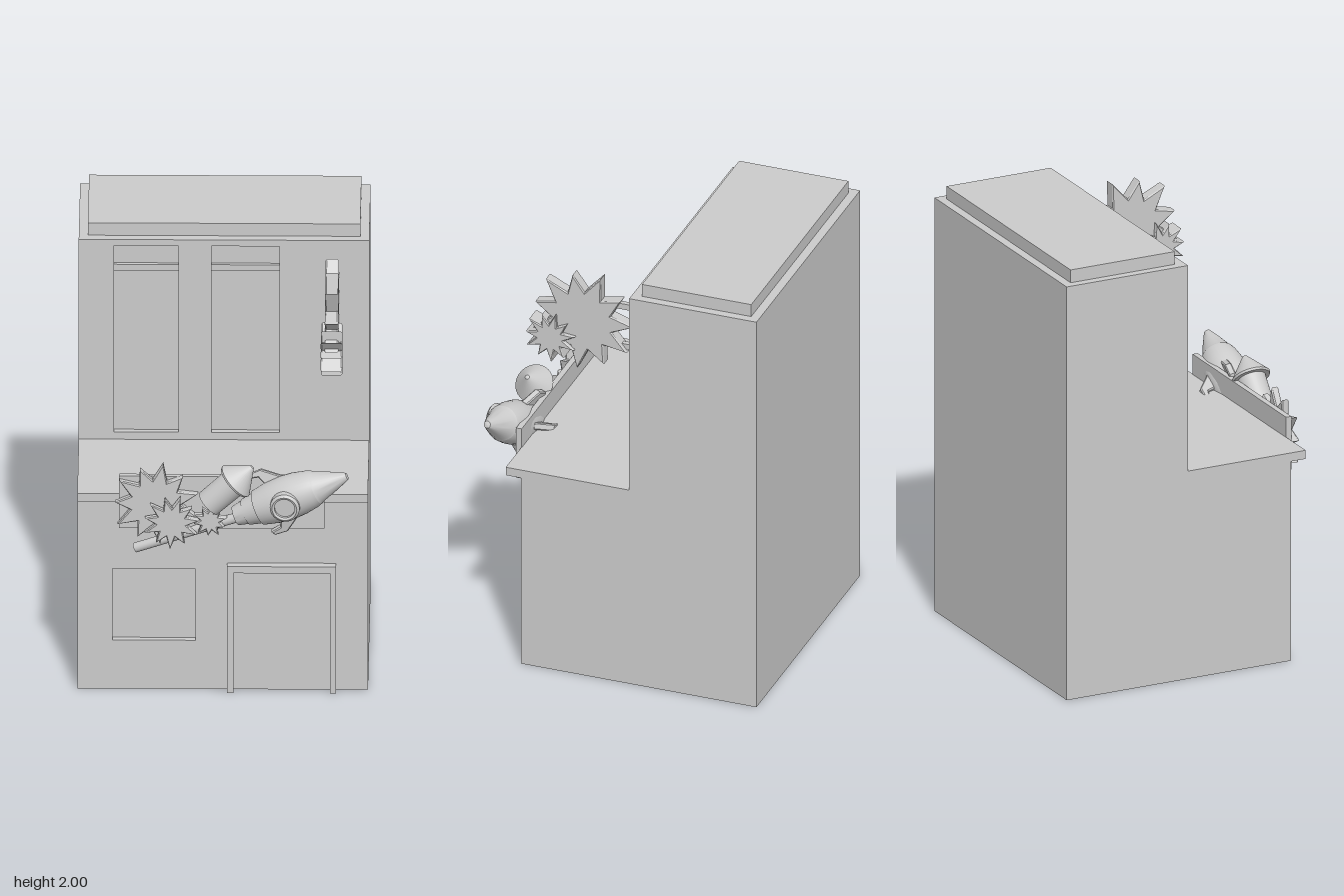
import * as THREE from 'three';
import { toCreasedNormals } from 'three/addons/utils/BufferGeometryUtils.js';

const mat = new THREE.MeshStandardMaterial({ color: 0xcccccc, side: THREE.DoubleSide });

function add(parent, name, geo, x = 0, y = 0, z = 0) {
  const m = new THREE.Mesh(geo, mat);
  m.name = name;
  m.position.set(x, y, z);
  parent.add(m);
  return m;
}

// Box given by its lower and upper limits on each axis
function box(parent, name, x0, x1, y0, y1, z0, z1) {
  return add(parent, name, new THREE.BoxGeometry(x1 - x0, y1 - y0, z1 - z0),
    (x0 + x1) / 2, (y0 + y1) / 2, (z0 + z1) / 2);
}

const rect = (T, x0, x1, y0, y1) => new T([[x0, y0], [x1, y0], [x1, y1], [x0, y1]]
  .map(p => new THREE.Vector2(...p)));

// Thin wall with recessed openings; zFront is its outer face
function wall(parent, name, y0, y1, zFront, openings) {
  const s = rect(THREE.Shape, -0.64, 0.64, y0, y1);
  openings.forEach(o => s.holes.push(rect(THREE.Path, ...o)));
  add(parent, name, new THREE.ExtrudeGeometry(s, { depth: 0.03, bevelEnabled: false }), 0, 0, zFront - 0.03);
  openings.forEach(([a, b, c, d]) =>
    box(parent, 'windowPane', a - 0.02, b + 0.02, c - 0.02, d + 0.02, zFront - 0.04, zFront - 0.03));
}

// Pointed burst plate, centred on its thickness
function burst(parent, name, points, outer, inner, depth, turn) {
  const pts = [];
  for (let i = 0; i < points * 2; i++) {
    const a = turn + i * Math.PI / points;
    const r = i % 2 ? inner : outer * (i % 4 ? 0.94 : 1.02);
    pts.push(new THREE.Vector2(r * Math.cos(a), r * Math.sin(a)));
  }
  const bevel = 0.006;
  const geo = new THREE.ExtrudeGeometry(new THREE.Shape(pts), {
    depth: depth - 2 * bevel, bevelThickness: bevel, bevelSize: bevel, bevelOffset: -bevel, bevelSegments: 1
  });
  geo.translate(0, 0, bevel - depth / 2);
  return add(parent, name, geo);
}

function lathe(parent, name, profile) {
  const geo = new THREE.LatheGeometry(profile.map(p => new THREE.Vector2(...p)), 32);
  return add(parent, name, toCreasedNormals(geo, 0.5));
}

// Group whose y axis runs from one point to another, with z towards the front
function aimed(parent, name, from, to) {
  const g = new THREE.Group();
  g.name = name;
  const a = new THREE.Vector3(...from);
  const y = new THREE.Vector3(...to).sub(a).normalize();
  const x = new THREE.Vector3().crossVectors(y, new THREE.Vector3(0, 0, 1)).normalize();
  const z = new THREE.Vector3().crossVectors(x, y);
  g.quaternion.setFromRotationMatrix(new THREE.Matrix4().makeBasis(x, y, z));
  g.position.copy(a);
  parent.add(g);
  return g;
}

function addBuilding(root) {
  const g = new THREE.Group();
  g.name = 'building';
  root.add(g);

  // Hollow shell, open underneath
  const side = new THREE.Shape([[-0.7, 0], [0.41, 0], [0.41, 0.95], [-0.1, 0.95], [-0.1, 1.94], [-0.7, 1.94]]
    .map(p => new THREE.Vector2(...p)));
  for (const s of [-1, 1]) {
    add(g, 'sideWall', new THREE.ShapeGeometry(side), 0.64 * s).rotation.y = -Math.PI / 2;
  }
  add(g, 'backWall', new THREE.PlaneGeometry(1.28, 1.94), 0, 0.97, -0.7).rotation.y = Math.PI;
  add(g, 'upperRoof', new THREE.PlaneGeometry(1.28, 0.6), 0, 1.94, -0.4).rotation.x = -Math.PI / 2;
  box(g, 'roofCap', -0.6, 0.6, 1.94, 2, -0.66, -0.145);
  box(g, 'ledge', -0.64, 0.64, 0.935, 0.975, -0.1, 0.482);

  // Front walls with windows
  wall(g, 'lowerFrontWall', 0, 0.95, 0.41, [[-0.485, -0.12, 0.235, 0.58]]);
  const tall = [[-0.485, -0.2, 1.01, 1.91], [-0.055, 0.245, 1.01, 1.91]];
  wall(g, 'upperFrontWall', 0.95, 1.94, -0.1, tall);
  for (const [a, b] of tall) box(g, 'windowBar', a, b, 1.785, 1.815, -0.13, -0.112);

  // Door surround
  box(g, 'doorJamb', 0.02, 0.047, 0, 0.61, 0.41, 0.45);
  box(g, 'doorJamb', 0.473, 0.5, 0, 0.61, 0.41, 0.45);
  box(g, 'doorLintel', 0.047, 0.473, 0.578, 0.61, 0.41, 0.45);
}

function addRocket(root) {
  const g = aimed(root, 'rocket', [0.105, 0.92, 0.55], [0.553, 1.12, 0.605]);
  lathe(g, 'rocketBody', [[0, -0.05], [0.045, -0.05], [0.055, 0], [0.06, 0], [0.072, 0.06], [0.08, 0.06],
    [0.095, 0.13], [0.1, 0.2], [0.096, 0.26], [0.084, 0.32], [0.077, 0.34]]);
  lathe(g, 'noseCone', [[0.077, 0.34], [0.07, 0.35], [0.045, 0.42], [0.016, 0.49], [0, 0.495]]);

  // Swept fins: above, below and behind
  const fin = new THREE.Shape([[0.06, 0.22], [0.1, 0.21], [0.158, 0.13], [0.155, 0.07], [0.135, 0.06],
    [0.125, 0.11], [0.06, 0.14]].map(p => new THREE.Vector2(...p)));
  for (const a of [0.15, Math.PI - 0.35, Math.PI / 2]) {
    const geo = new THREE.ExtrudeGeometry(fin, {
      depth: 0.022, bevelThickness: 0.005, bevelSize: 0.005, bevelOffset: -0.005, bevelSegments: 1
    });
    geo.translate(0, 0, -0.011);
    add(g, 'fin', geo).rotation.y = a;
  }

  // Porthole rim and glass
  const rim = lathe(g, 'portholeRim', [[0.045, 0], [0.045, 0.05], [0.055, 0.055], [0.066, 0.045], [0.066, 0]]);
  const glass = add(g, 'portholeGlass', new THREE.CylinderGeometry(0.046, 0.046, 0.03, 32));
  rim.position.set(0, 0.2, 0.063);
  glass.position.set(0, 0.2, 0.085);
  rim.rotation.x = glass.rotation.x = Math.PI / 2;

  // Guide stick trailing behind
  const stick = aimed(root, 'stick', [-0.385, 0.7, 0.45], [0.1, 0.905, 0.55]);
  add(stick, 'guideStick', new THREE.CylinderGeometry(0.022, 0.022, 0.53, 20), 0, 0.265, 0);

  // Smaller firework
  const small = aimed(root, 'smallRocket', [-0.06, 0.965, 0.56], [0.135, 1.15, 0.575]);
  lathe(small, 'smallRocketBody', [[0, 0], [0.062, 0], [0.064, 0.16], [0, 0.16]]);
  lathe(small, 'smallRocketCone', [[0, 0.155], [0.084, 0.155], [0.088, 0.165], [0.01, 0.265], [0, 0.268]]);
}

export function createModel() {
  const root = new THREE.Group();
  root.name = 'fireworkShop';
  addBuilding(root);

  // Sign board with bursts
  box(root, 'signBoard', -0.455, 0.45, 0.82, 1.07, 0.48, 0.506);
  burst(root, 'largeBurst', 11, 0.19, 0.115, 0.035, 0.25).position.set(-0.295, 0.95, 0.522);
  burst(root, 'mediumBurst', 11, 0.125, 0.07, 0.035, 0.1).position.set(-0.225, 0.875, 0.56);
  burst(root, 'smallBurst', 10, 0.075, 0.045, 0.035, 0.2).position.set(-0.055, 0.885, 0.562);
  addRocket(root);

  // Hanging sign standing out from the upper wall
  const sign = new THREE.Group();
  sign.name = 'hangingSign';
  root.add(sign);
  for (const y of [1.605, 1.805]) box(sign, 'signBracket', 0.467, 0.491, y - 0.014, y + 0.014, -0.1, 0.1);
  const big = burst(sign, 'hangingBurst', 11, 0.24, 0.145, 0.06, 0.05);
  big.position.set(0.479, 1.705, 0.175);
  const little = burst(sign, 'hangingSmallBurst', 11, 0.12, 0.065, 0.095, 0.2);
  little.position.set(0.479, 1.6, 0.32);
  big.rotation.y = little.rotation.y = Math.PI / 2;
  return root;
}
